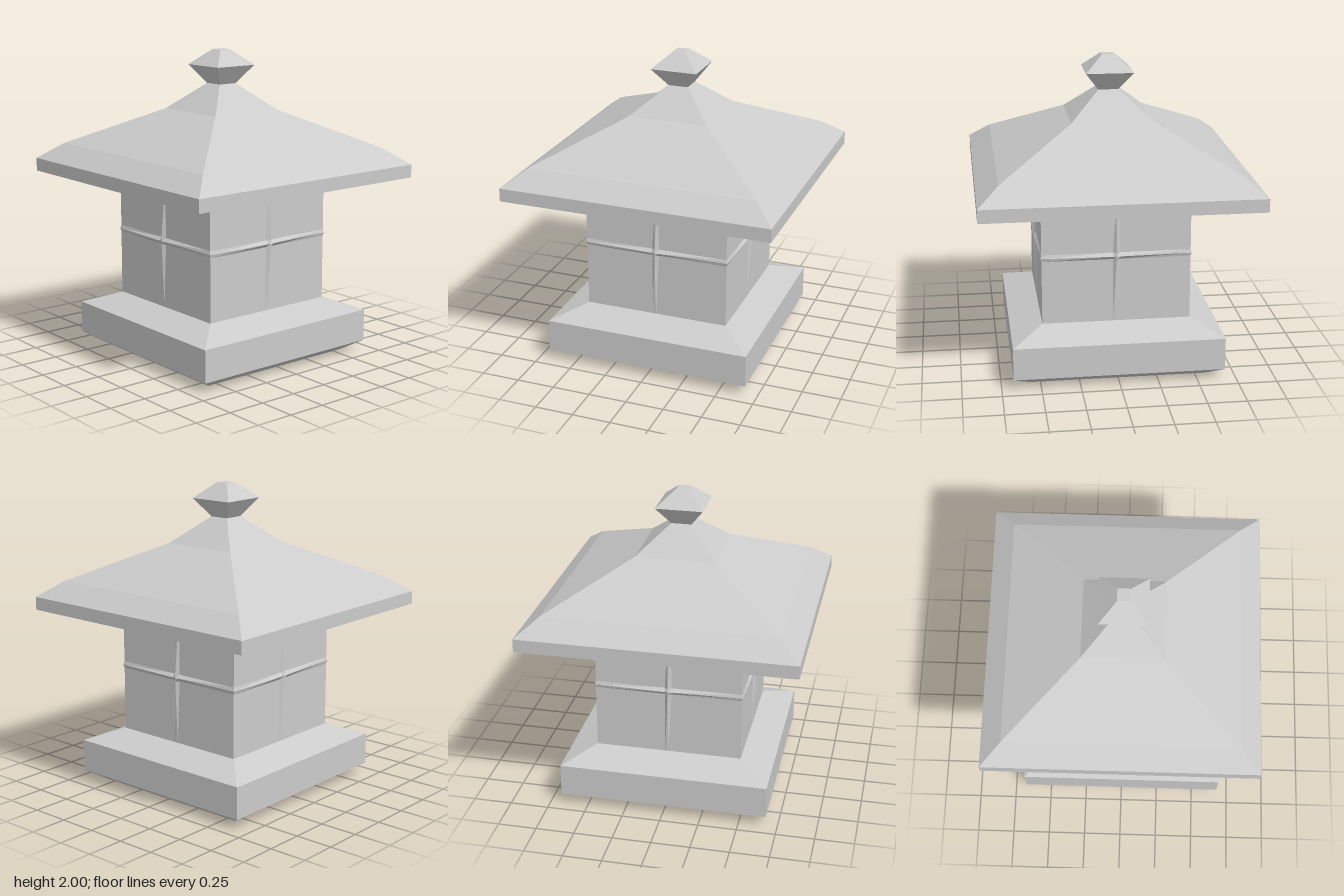
import * as THREE from 'three';

const material = new THREE.MeshStandardMaterial({ color: 0xcccccc, flatShading: true });

function addMesh(parent, name, geometry) {
  const flat = geometry.toNonIndexed();
  flat.computeVertexNormals();
  const mesh = new THREE.Mesh(flat, material);
  mesh.name = name;
  parent.add(mesh);
  return mesh;
}

// Square tier: profile of [half width, height], listed from bottom to top
function squareTier(profile) {
  const points = profile.map(([w, y]) => new THREE.Vector2(w * Math.SQRT2, y));
  return new THREE.LatheGeometry(points, 4, Math.PI / 4);
}

// Wall panel with a raised cross that swells towards its middle
function wallPanel() {
  const half = 0.475, rib = 0.022;
  const xs = [-half, -rib, 0, rib, half];
  const ys = [1.21, 0.8 + rib, 0.8, 0.8 - rib, 0.36];
  const geometry = new THREE.PlaneGeometry(1, 1, 4, 4);
  const pos = geometry.attributes.position;
  for (let i = 0; i < pos.count; i++) {
    const col = i % 5, row = Math.floor(i / 5);
    const dx = Math.abs(col - 2), dy = Math.abs(row - 2);
    let lift = 0;
    if (dx === 0) lift = [0.02, 0.019, 0][dy];
    else if (dy === 0) lift = [0.02, 0.019, 0.006][dx];
    // Rib ends are mitred at the corners
    const mitre = dx === 2 ? Math.sign(col - 2) * lift : 0;
    pos.setXYZ(i, xs[col] + mitre, ys[row], half + lift);
  }
  return geometry;
}

export function createModel() {
  const model = new THREE.Group();
  model.name = 'lantern';

  // Chamfered plinth
  addMesh(model, 'base', squareTier([
    [0, 0], [0.565, 0], [0.675, 0.07], [0.675, 0.28], [0.475, 0.36], [0, 0.36],
  ]));

  // Four identical walls
  const walls = new THREE.Group();
  walls.name = 'walls';
  for (let i = 0; i < 4; i++) {
    addMesh(walls, 'wall', wallPanel()).rotation.y = i * Math.PI / 2;
  }
  model.add(walls);

  // Flared roof with slightly hollow eaves
  addMesh(model, 'roof', squareTier([
    [0, 1.21], [0.475, 1.21], [0.875, 1.18], [0.875, 1.265],
    [0.74, 1.37], [0.26, 1.61], [0.065, 1.78], [0, 1.78],
  ]));

  // Finial
  addMesh(model, 'finial', squareTier([
    [0, 1.78], [0.065, 1.78], [0.152, 1.9], [0.04, 2], [0, 2],
  ]));

  return model;
}
